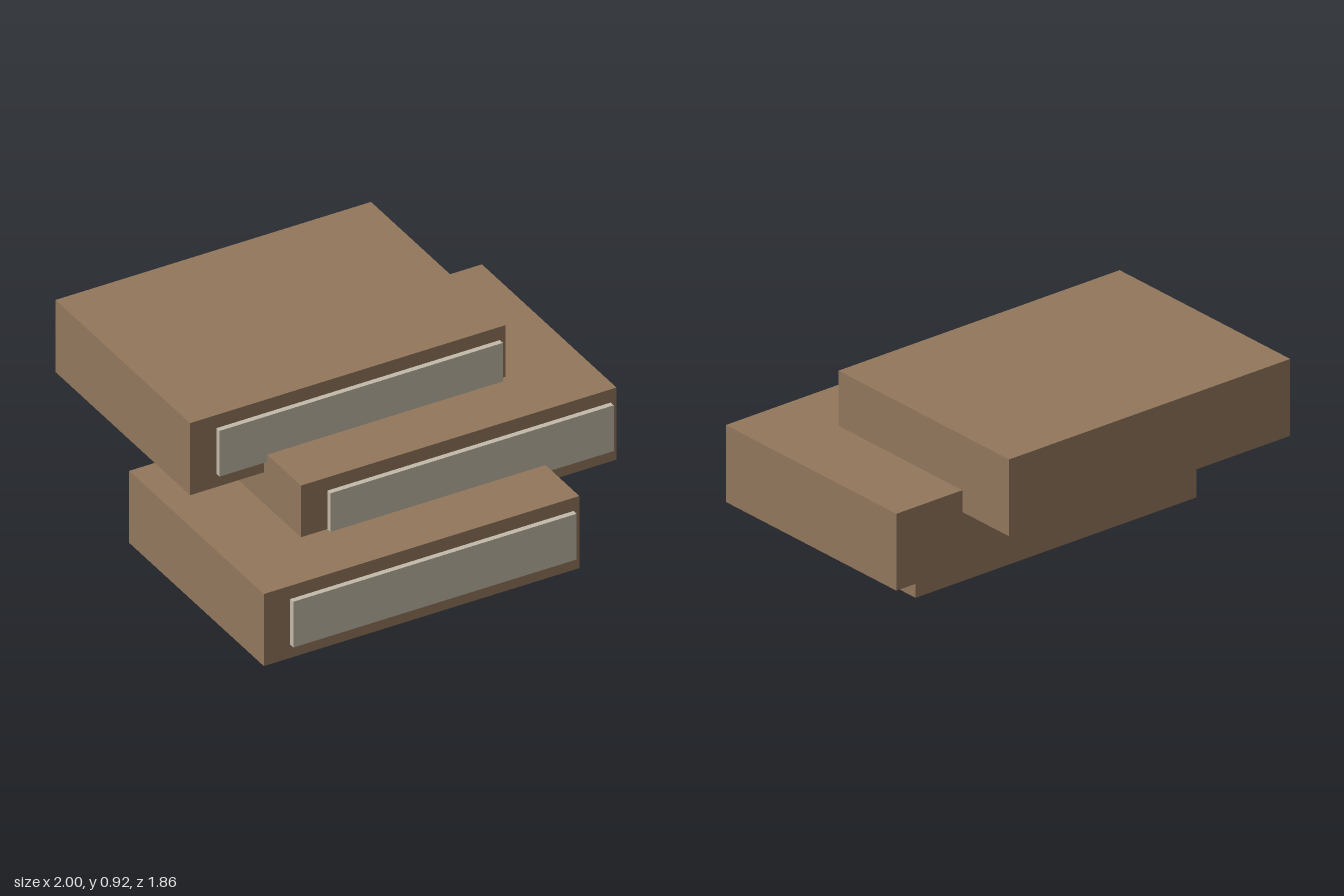
import * as THREE from 'three';

const WIDTH = 1.62, HEIGHT = 0.378, DEPTH = 1.186;
const PANEL_WIDTH = 1.455, PANEL_HEIGHT = 0.24, PANEL_DEPTH = 0.027;

export function createModel() {
  const brown = new THREE.MeshStandardMaterial({ name: 'brown', color: 0x92775c });
  const paleGrey = new THREE.MeshStandardMaterial({ name: 'paleGrey', color: 0xc2baa8 });

  const slabGeometry = new THREE.BoxGeometry(WIDTH, HEIGHT, DEPTH);
  const panelGeometry = new THREE.BoxGeometry(PANEL_WIDTH, PANEL_HEIGHT, PANEL_DEPTH);

  // One slab with a raised, slightly off-centre panel on its front
  function makeStep(name, x, y, z) {
    const step = new THREE.Group();
    step.name = name;
    const slab = new THREE.Mesh(slabGeometry, brown);
    slab.name = 'slab';
    const panel = new THREE.Mesh(panelGeometry, paleGrey);
    panel.name = 'frontPanel';
    panel.position.set(0.053, 0, (DEPTH + PANEL_DEPTH) / 2);
    step.add(slab, panel);
    step.position.set(x, y + HEIGHT / 2, z);
    return step;
  }

  // Three overlapping slabs, stepping back and alternating sideways
  const model = new THREE.Group();
  model.name = 'steppedSlabs';
  model.add(
    makeStep('bottomStep', -0.19, 0, 0.312),
    makeStep('middleStep', 0.19, 0.271, -0.013),
    makeStep('topStep', -0.19, 0.542, -0.338),
  );
  return model;
}
